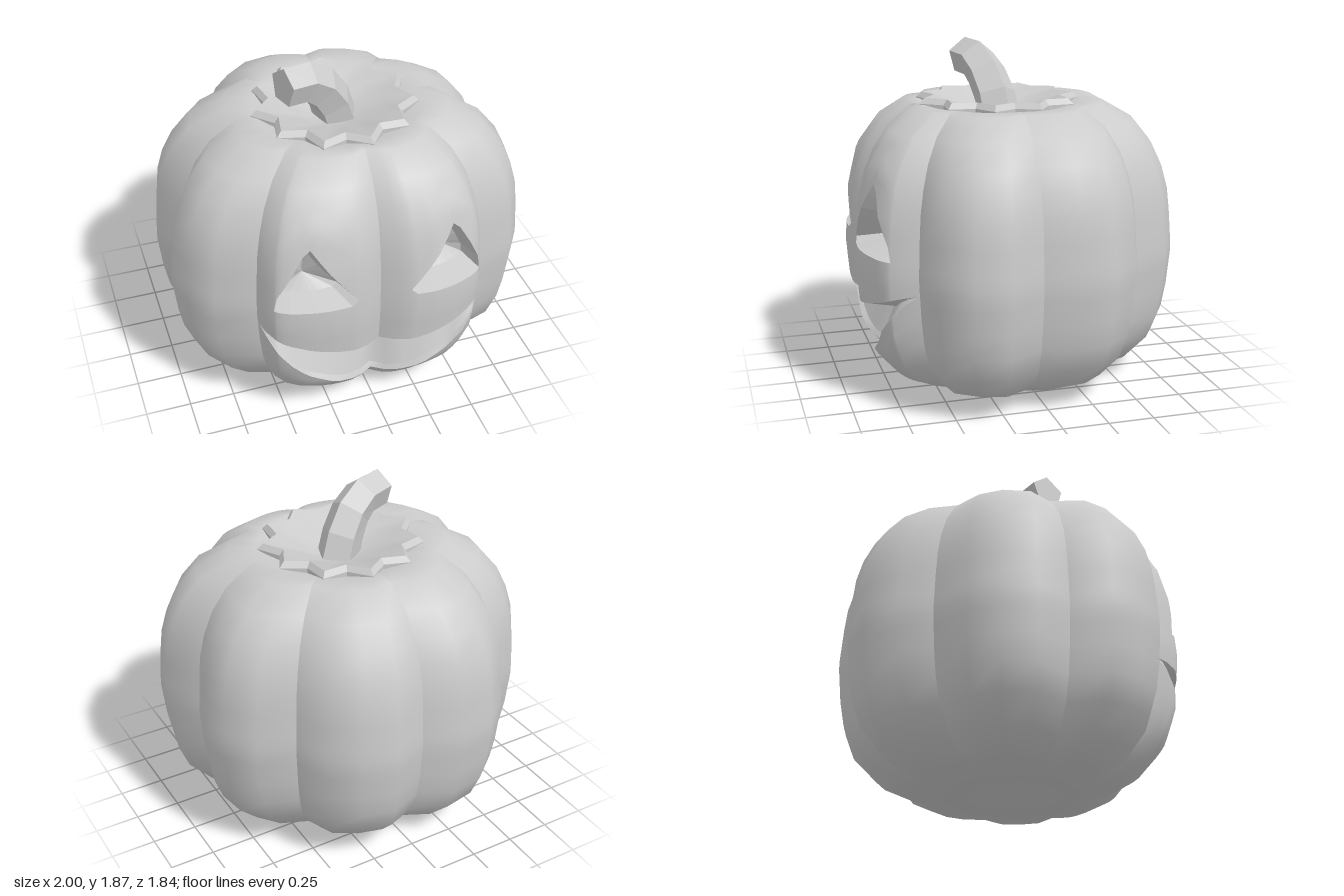
import * as THREE from 'three';
import { mergeGeometries, mergeVertices } from 'three/addons/utils/BufferGeometryUtils.js';

const V = (x, y, z) => new THREE.Vector3(x, y, z);
const MID_Z = 0.07; // the lobes converge on this axis

// Piecewise linear lookup in [[x, value], ...], clamped at both ends
function lookup(table, x) {
  if (x <= table[0][0]) return table[0][1];
  for (let i = 1; i < table.length; i++) {
    const [x0, v0] = table[i - 1], [x1, v1] = table[i];
    if (x <= x1) return v0 + (v1 - v0) * (x - x0) / (x1 - x0);
  }
  return table[table.length - 1][1];
}

// Surface through columns of points (columns run right, points run up, seen from outside)
function grid(cols, { skip = [], flat = false } = {}) {
  const rows = cols[0].length, index = [];
  for (let i = 0; i < cols.length - 1; i++)
    for (let j = 0; j < rows - 1; j++) {
      if (skip.includes(j)) continue;
      const a = i * rows + j, b = a + rows;
      index.push(a, b, b + 1, a, b + 1, a + 1);
    }
  let geo = new THREE.BufferGeometry().setFromPoints(cols.flat());
  geo.setIndex(index);
  geo = mergeVertices(geo, 1e-4);
  if (flat) geo = geo.toNonIndexed();
  geo.computeVertexNormals();
  return geo;
}

// Joins the same point of each ring into columns, closing the loop
const loft = (rings, opts) =>
  grid([...rings[0], rings[0][0]].map((_, i) => rings.map(r => r[i % r.length])), opts);

// Side profile: radius factor by height
const PROFILE = [[0.03, 0.6], [0.11, 0.77], [0.24, 0.9], [0.42, 0.97], [0.73, 1],
  [1.05, 0.975], [1.28, 0.91], [1.45, 0.77], [1.55, 0.6]];
// Caps: radius factor, height, how far the lobes melt into a circle
const BOTTOM = [[0, 0.05, 1], [0.2, 0.02, 1], [0.38, 0, 0.5], [0.6, 0.03, 0.15]];
const TOP = [[0.6, 1.55, 0.2], [0.48, 1.55, 0.8], [0.3, 1.5, 1], [0, 1.4, 1]];

// Carved face edges by distance from the middle
const MOUTH_LOW = [[0, 0.17], [0.11, 0.18], [0.22, 0.21], [0.43, 0.34], [0.57, 0.52], [0.63, 0.65]];
const MOUTH_HIGH = [[0, 0.5], [0.2, 0.515], [0.4, 0.56], [0.54, 0.605], [0.63, 0.65]];
const EYE_LOW = [[0.145, 0.865], [0.18, 0.835], [0.575, 0.825]];
const EYE_HIGH = [[0.145, 0.865], [0.3, 1.06], [0.41, 1.2], [0.45, 1.16], [0.565, 0.91], [0.575, 0.825]];

// Half outline of the front, dense enough for the carving
const FRONT = [[0, 0.83], [0.08, 0.885], [0.145, 0.91], [0.18, 0.916], [0.25, 0.92], [0.3, 0.918],
  [0.36, 0.908], [0.41, 0.895], [0.45, 0.88], [0.5, 0.86], [0.54, 0.835], [0.565, 0.815],
  [0.575, 0.8], [0.61, 0.735], [0.63, 0.66]];
// Outlines of the plain lobes, from the front round the +x side and the back
const LOBES = [
  [[0.63, 0.66], [0.85, 0.61], [0.96, 0.45], [1, 0.27], [0.89, 0.07]],
  [[0.89, 0.07], [0.95, -0.13], [0.92, -0.31], [0.8, -0.46], [0.61, -0.54]],
  [[0.61, -0.54], [0.53, -0.74], [0.37, -0.84], [0.19, -0.89], [0, -0.82]],
  [[0, -0.82], [-0.2, -0.92], [-0.4, -0.88], [-0.57, -0.74], [-0.65, -0.57]],
  [[-0.65, -0.57], [-0.85, -0.46], [-0.96, -0.32], [-1, -0.13], [-0.9, 0.07]],
  [[-0.9, 0.07], [-1, 0.27], [-0.95, 0.44], [-0.84, 0.59], [-0.63, 0.66]],
];

// Point on the skin above outline point (x, z)
function skin([x, z], y, r = lookup(PROFILE, y), melt = 0) {
  const dz = z - MID_Z, k = r * (1 + melt * (0.92 / Math.hypot(x, dz) - 1));
  return V(x * k, y, MID_Z + dz * k);
}

// Heights of the carved edges for an outline point
function edges(p, front) {
  const u = front ? Math.abs(p[0]) : 0.63;
  return [MOUTH_LOW, MOUTH_HIGH, EYE_LOW, EYE_HIGH].map(t => lookup(t, u));
}

function skinColumn(p, front) {
  const [ml, mh, el, eh] = edges(p, front), ys = [];
  for (const [a, b, n] of [[0.11, ml, 4], [mh, el, 3], [eh, 1.45, 5]])
    for (let i = 0; i <= n; i++) ys.push(a + (b - a) * i / n);
  return [
    ...BOTTOM.map(([r, y, m]) => skin(p, y, r, m)),
    ...ys.map(y => skin(p, y)),
    ...TOP.map(([r, y, m]) => skin(p, y, r, m)),
  ];
}

export function createModel() {
  const group = new THREE.Group();
  const smooth = new THREE.MeshStandardMaterial({ color: 0xcccccc, side: THREE.DoubleSide });
  const add = (name, geo) => {
    const mesh = new THREE.Mesh(geo, smooth);
    mesh.name = name;
    group.add(mesh);
  };

  // Lobed body; each lobe is smooth by itself, so the grooves stay sharp
  const rightFront = FRONT;
  const leftFront = FRONT.map(([x, z]) => [-x, z - 0.02 * Math.sin(Math.PI * x / 0.63)]).reverse();
  const holes = [8, 12]; // row gaps left for mouth and eyes
  add('body', mergeGeometries([
    ...[leftFront, rightFront].map(l => grid(l.map(p => skinColumn(p, true)), { skip: holes })),
    ...LOBES.map(l => grid(l.map(p => skinColumn(p, false)), { skip: holes })),
  ]));

  // Mouth: narrow lower lip, sloping floor and overhanging upper lip
  const mouthCols = [...leftFront, ...rightFront.slice(1)].map(p => {
    const [lo, hi] = edges(p, true), k = (hi - lo) / 0.33;
    const lip = skin(p, lo + 0.03 * k), deep = skin(p, hi - 0.04 * k);
    lip.z -= 0.04 * k;
    deep.z -= 0.2 * k;
    return [skin(p, lo), lip, deep, skin(p, hi)];
  });
  add('mouth', mergeGeometries([0, 1, 2].map(j => grid(mouthCols.map(c => c.slice(j, j + 2))))));

  // Eye sockets: walls tapering in to a shallow pit
  for (const [name, half] of [['leftEye', rightFront], ['rightEye', leftFront]]) {
    const cols = half.filter(([x]) => Math.abs(x) > 0.14 && Math.abs(x) < 0.58);
    const low = cols.map(p => skin(p, edges(p, true)[2]));
    const high = cols.slice(1, -1).map(p => skin(p, edges(p, true)[3])).reverse();
    const rim = [...low, ...high];
    const c = V(0.385 * Math.sign(cols[4][0]), 0.95, 0.87);
    const inner = rim.map(p => p.clone().lerp(c, 0.3).add(V(0, 0, -0.14)));
    const pit = rim.map(() => c.clone().add(V(0, 0, -0.2)));
    add(name, loft([rim, inner, pit], { flat: true }));
  }

  // Star-cut lid with a bevelled rim and a dished top
  const POINTS = 11;
  const star = (scale, y, round = 0) => Array.from({ length: POINTS * 2 }, (_, i) => {
    const a = Math.PI - i * Math.PI / POINTS;
    const r = scale * THREE.MathUtils.lerp(i % 2 ? 0.375 : 0.46, 0.41, round);
    return V(-0.01 + r * Math.cos(a), y, MID_Z + r * Math.sin(a));
  });
  add('lidRim', loft([star(1, 1.5), star(1, 1.555), star(0.93, 1.585)], { flat: true }));
  add('lidTop', loft([star(0.93, 1.585), star(0.65, 1.54, 0.7), star(0.35, 1.49, 1), star(0, 1.46)]));

  // Five-sided stem bending over towards -x and the front
  const path = [V(0.02, 1.42, 0.06), V(-0.03, 1.58, 0.08), V(-0.1, 1.69, 0.11),
    V(-0.19, 1.755, 0.14), V(-0.32, 1.765, 0.18)];
  const side = V(0.3, 0, 0.95).normalize();
  const rings = path.map((p, i) => {
    const t = path[Math.min(i + 1, 4)].clone().sub(path[Math.max(i - 1, 0)]).normalize();
    const up = side.clone().cross(t).normalize();
    if (up.y < 0) up.negate();
    const r = 0.125 - 0.005 * i;
    return Array.from({ length: 5 }, (_, k) => {
      const a = k * Math.PI * 2 / 5;
      return p.clone().addScaledVector(up, r * Math.cos(a)).addScaledVector(side, r * Math.sin(a));
    });
  });
  const outward = rings.map(r => r.slice().reverse());
  const tip = outward[4].map(() => path[4].clone());
  add('stem', mergeGeometries([
    loft(outward, { flat: true }),
    loft([outward[4], tip], { flat: true }),
  ]));

  return group;
}
